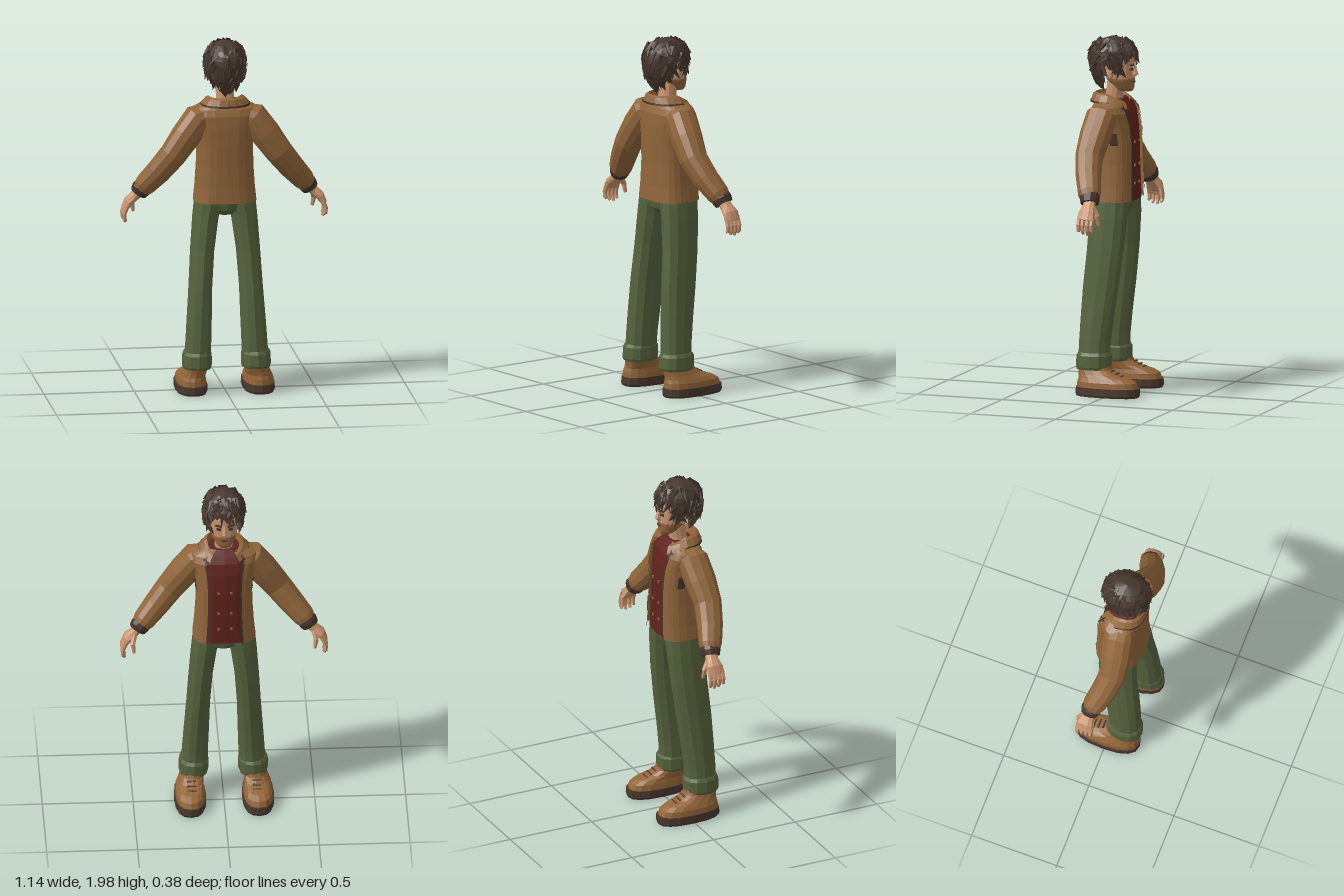
import * as THREE from 'three';
import { mergeGeometries } from 'three/addons/utils/BufferGeometryUtils.js';

const material = (name, color, side = THREE.FrontSide) =>
  Object.assign(new THREE.MeshStandardMaterial({ color, side }), { name });
const V = (x, y, z) => new THREE.Vector3(x, y, z);

// Flat-shaded skin over rings [x, y, z, halfWidth, halfDepth]; from/to are angles measured from the -z side
function loft(rings, { n = 12, p = 0.85, level = true, from = 0, to = Math.PI * 2, drop = 0 } = {}) {
  const pos = [], idx = [], closed = to - from > 6.28, w = n + 1;
  const centre = rings.map(r => V(r[0], r[1], r[2]));
  const pow = v => Math.sign(v) * Math.abs(v) ** p;
  rings.forEach((r, i) => {
    const t = level ? V(0, 1, 0) : centre[Math.min(i + 1, rings.length - 1)].clone()
      .sub(centre[Math.max(i - 1, 0)]).normalize();
    const v = V(0, 0, 1).addScaledVector(t, -t.z).normalize();
    const u = v.clone().cross(t);
    for (let j = 0; j <= n; j++) {
      const a = from + (to - from) * j / n - Math.PI / 2;
      const q = centre[i].clone().addScaledVector(u, r[3] * pow(Math.cos(a))).addScaledVector(v, r[4] * pow(Math.sin(a)));
      pos.push(q.x, q.y + drop * Math.min(0, Math.sin(a)), q.z);
      if (i && j) {
        const d = i * w + j, c = d - 1, b = d - w, e = c - w;
        idx.push(e, b, d, e, d, c);
      }
    }
  });
  if (closed) [0, rings.length - 1].forEach((i, top) => {
    const k = pos.length / 3;
    pos.push(...centre[i].toArray());
    for (let j = 0; j < n; j++) {
      const a = i * w + j;
      if (top) idx.push(k, a, a + 1); else idx.push(k, a + 1, a);
    }
  });
  const g = new THREE.BufferGeometry();
  g.setAttribute('position', new THREE.Float32BufferAttribute(pos, 3));
  g.setIndex(idx);
  return flat(g);
}

function flat(g) {
  const f = g.index ? g.toNonIndexed() : g;
  f.computeVertexNormals();
  return f;
}

// Linear lookup in rows sorted by their first value
function lookup(rows, y) {
  let i = 1;
  while (i < rows.length - 1 && rows[i][0] < y) i++;
  const a = rows[i - 1], b = rows[i];
  const t = Math.min(1, Math.max(0, (y - a[0]) / (b[0] - a[0])));
  return a.map((v, k) => v + (b[k] - v) * t);
}

export function createModel() {
  const model = new THREE.Group();
  const jacket = material('tan jacket', 0x90653a, THREE.DoubleSide);
  const trim = material('dark trim', 0x44352a, THREE.DoubleSide);
  const shirt = material('dark red shirt', 0x5f231b);
  const trousers = material('green trousers', 0x56633d);
  const skin = material('skin', 0xc8946f);
  const stubble = material('stubble', 0x94673f);
  const hair = material('brown hair', 0x47382e, THREE.DoubleSide);
  const leather = material('boot leather', 0x936537);
  const soleBrown = material('boot sole', 0x4a382d);

  const add = (name, geometry, mat, parent = model) => {
    const m = new THREE.Mesh(geometry, mat);
    m.name = name;
    parent.add(m);
    return m;
  };
  const plate = (name, size, at, mat, ry = 0, rz = 0, rx = 0) => {
    const m = add(name, flat(new THREE.BoxGeometry(...size)), mat);
    m.position.set(...at);
    m.rotation.set(rx, ry, rz);
    return m;
  };

  // Torso: rows of [y, centreZ, halfWidth, halfDepth]
  const torso = [[1.075, 0.014, 0.174, 0.134], [1.16, 0.012, 0.165, 0.13], [1.28, 0.012, 0.157, 0.128], [1.4, 0.014, 0.155, 0.128],
    [1.5, 0.02, 0.165, 0.123], [1.565, 0.026, 0.185, 0.112], [1.6, 0.03, 0.18, 0.095], [1.635, 0.033, 0.11, 0.075]];
  const body = (grow, ys = torso.map(r => r[0])) => ys.map(y => {
    const [, z, a, b] = lookup(torso, y);
    return [0, y, z, a + grow, b + grow];
  });
  const open = 0.46, full = Math.PI * 2;
  add('shirt', loft(body(-0.012), { n: 20, p: 0.72 }), shirt);
  add('jacketBody', loft(body(0), { n: 20, p: 0.72, from: open, to: full - open }), jacket);
  for (const s of [1, -1]) {
    const arc = (name, ys, a, b, grow, mat) => add(name,
      loft(body(grow, ys), { n: 3, p: 0.72, from: s > 0 ? a : full - b, to: s > 0 ? b : full - a }), mat);
    arc('jacketOpeningEdge', torso.map(r => r[0]), open - 0.05, open + 0.03, 0.004, trim);
    arc('chestPocketFlap', [1.43, 1.47], 0.62, 0.95, 0.005, jacket);
    arc('sidePatch', [1.39, 1.46], 1.2, 1.5, 0.004, trim);
    arc('lowerPocket', [1.14, 1.24], 0.65, 1.0, 0.005, jacket);
    for (const y of [1.17, 1.27, 1.4]) plate('shirtButton', [0.013, 0.013, 0.006], [s * 0.035, y, -0.107], stubble);
  }
  // Turned-down collar
  const collarArc = { n: 16, p: 0.9, from: 0.6, to: full - 0.6, drop: 0.05 };
  add('collar', loft([[0, 1.62, 0.03, 0.08, 0.08], [0, 1.668, 0.033, 0.092, 0.095],
    [0, 1.66, 0.03, 0.108, 0.112], [0, 1.625, 0.025, 0.138, 0.127]], collarArc), jacket);
  add('collarEdge', loft([[0, 1.628, 0.025, 0.138, 0.129], [0, 1.617, 0.024, 0.142, 0.132]], collarArc), trim);

  for (const s of [1, -1]) {
    const side = rings => rings.map(([x, ...r]) => [s * x, ...r]);
    const limb = (name, rings, mat, n = 10, level = false, p = 0.9) => add(name, loft(side(rings), { n, level, p }), mat);

    // Sleeve, cuff and hand
    limb('sleeve', [[0.08, 1.575, 0.04, 0.05, 0.065], [0.15, 1.545, 0.045, 0.083, 0.088], [0.22, 1.45, 0.058, 0.083, 0.086],
      [0.295, 1.345, 0.066, 0.076, 0.076], [0.37, 1.25, 0.042, 0.07, 0.071], [0.44, 1.17, 0.01, 0.061, 0.064],
      [0.456, 1.15, 0.0, 0.052, 0.056]], jacket, 12);
    limb('sleeveCuff', [[0.447, 1.163, 0.002, 0.05, 0.053], [0.462, 1.143, 0, 0.054, 0.057], [0.477, 1.12, -0.005, 0.047, 0.05]], trim);
    limb('palm', [[0.462, 1.14, -0.003, 0.028, 0.034], [0.495, 1.105, -0.007, 0.027, 0.037],
      [0.53, 1.075, -0.009, 0.026, 0.05], [0.553, 1.035, -0.008, 0.018, 0.047]], skin);
    [-0.045, -0.02, 0.006, 0.03].forEach((z, i) => {
      const tip = 0.955 + [0.012, 0, 0.006, 0.022][i];
      limb('finger', [[0.54, 1.06, z, 0.014, 0.013], [0.56, 1.01, z, 0.013, 0.013],
        [0.557, 0.98, z, 0.012, 0.012], [0.546, tip, z, 0.008, 0.008]], skin, 6);
    });
    limb('thumb', [[0.495, 1.1, -0.03, 0.018, 0.018], [0.505, 1.055, -0.058, 0.015, 0.016], [0.497, 1.005, -0.064, 0.009, 0.01]], skin, 6);

    // Trouser leg with rolled hem
    limb('trouserLeg', [[0.16, 0.19, 0.087, 0.074, 0.089], [0.155, 0.3, 0.083, 0.072, 0.09], [0.149, 0.42, 0.073, 0.07, 0.095],
      [0.14, 0.6, 0.055, 0.066, 0.104], [0.127, 0.8, 0.034, 0.067, 0.107], [0.108, 0.98, 0.022, 0.073, 0.111],
      [0.088, 1.1, 0.018, 0.081, 0.112]], trousers, 12, true);
    limb('trouserHem', [[0.164, 0.145, 0.088, 0.078, 0.094], [0.164, 0.16, 0.087, 0.083, 0.101],
      [0.163, 0.222, 0.085, 0.082, 0.1], [0.162, 0.24, 0.086, 0.074, 0.09]], trousers, 12, true);

    // Boot
    limb('bootSole', [[0.187, 0, -0.004, 0.083, 0.18], [0.187, 0.012, -0.004, 0.088, 0.186], [0.187, 0.05, -0.004, 0.087, 0.184]],
      soleBrown, 16, true, 0.8);
    limb('bootUpper', [[0.187, 0.045, -0.003, 0.082, 0.178], [0.187, 0.08, 0.002, 0.079, 0.17], [0.184, 0.1, 0.018, 0.072, 0.148],
      [0.177, 0.12, 0.053, 0.068, 0.113], [0.17, 0.145, 0.075, 0.065, 0.095], [0.165, 0.2, 0.085, 0.06, 0.082]], leather, 16, true, 0.8);
    [[0.112, -0.083], [0.126, -0.058], [0.14, -0.03]].forEach(([y, z]) =>
      plate('bootLace', [0.05, 0.006, 0.008], [s * 0.18, y, z], soleBrown, 0, 0, -0.5));

    // Eyes, brows and ears
    plate('eye', [0.024, 0.012, 0.008], [s * 0.033, 1.802, -0.086], trim, s * -0.3);
    plate('eyebrow', [0.036, 0.009, 0.009], [s * 0.034, 1.825, -0.089], hair, s * -0.3, s * 0.12);
    const ear = add('ear', flat(new THREE.SphereGeometry(1, 8, 6)), skin);
    ear.scale.set(0.014, 0.032, 0.02);
    ear.position.set(s * 0.086, 1.778, 0.02);
  }
  add('trouserSeat', loft([[0, 1.0, 0.022, 0.05, 0.06], [0, 1.03, 0.02, 0.1, 0.1], [0, 1.1, 0.018, 0.166, 0.115]], { n: 16 }), trousers);

  // Neck and head
  add('neck', loft([[0, 1.59, 0.035, 0.058, 0.055], [0, 1.65, 0.026, 0.05, 0.047], [0, 1.74, 0.015, 0.05, 0.048]]), skin);
  add('jaw', loft([[0, 1.677, -0.04, 0.032, 0.038], [0, 1.695, -0.03, 0.05, 0.056], [0, 1.735, -0.013, 0.069, 0.074],
    [0, 1.752, -0.01, 0.072, 0.077]], { n: 16 }), stubble);
  add('face', loft([[0, 1.748, -0.01, 0.072, 0.077], [0, 1.785, -0.004, 0.078, 0.083], [0, 1.85, 0, 0.08, 0.087],
    [0, 1.92, 0.012, 0.072, 0.078], [0, 1.95, 0.02, 0.04, 0.045]], { n: 16 }), skin);
  add('nose', loft([[0, 1.757, -0.082, 0.013, 0.012], [0, 1.772, -0.09, 0.017, 0.025], [0, 1.825, -0.082, 0.009, 0.011]], { n: 6 }), skin);
  plate('mouth', [0.036, 0.006, 0.008], [0, 1.728, -0.087], trim);

  // Hair cap with a hairline that changes round the head
  const profile = [[1.68, 0.42], [1.72, 0.68], [1.78, 0.92], [1.85, 1], [1.9, 0.96], [1.94, 0.76], [1.965, 0.45], [1.98, 0]];
  const hairline = d => d < -0.65 ? 1.86 : d < -0.2 ? 1.77 : d < 0.2 ? 1.8 : 1.77 - 0.09 * d;
  const hairPoint = (phi, y) => {
    const r = lookup(profile, y)[1];
    return V(-Math.cos(phi) * 0.114 * r, y, 0.035 + Math.sin(phi) * 0.135 * r);
  };
  const cap = new THREE.SphereGeometry(1, 24, 10);
  for (let i = 0; i < cap.attributes.position.count; i++) {
    const phi = cap.attributes.uv.getX(i) * full, v = cap.attributes.uv.getY(i);
    const low = hairline(Math.sin(phi));
    const q = hairPoint(phi, low + (1.98 - low) * Math.min(1, v) ** 0.8);
    cap.attributes.position.setXYZ(i, q.x, q.y, q.z);
  }
  add('hairCap', flat(cap), hair);

  // Pointed locks laid over the cap
  let seed = 7;
  const rand = () => (seed = (seed * 16807) % 2147483647) / 2147483647;
  const locks = [];
  for (let i = 0; i < 150; i++) {
    const phi = (i * 0.618 % 1) * full, low = hairline(Math.sin(phi)) + 0.02;
    const y = low + (1.965 - low) * rand();
    const p = hairPoint(phi, y), out = V(p.x, 0, p.z - 0.035).normalize();
    const dir = hairPoint(phi + (rand() - 0.5) * 0.5, y - 0.03).sub(p).normalize().addScaledVector(out, 0.22).normalize();
    const length = 0.045 + 0.03 * rand();
    const cone = new THREE.ConeGeometry(0.018, length, 4, 1, true).translate(0, length / 2, 0);
    cone.applyQuaternion(new THREE.Quaternion().setFromUnitVectors(V(0, 1, 0), dir));
    locks.push(cone.translate(p.x - out.x * 0.006, p.y, p.z - out.z * 0.006));
  }
  add('hairLocks', flat(mergeGeometries(locks)), hair);

  return model;
}
